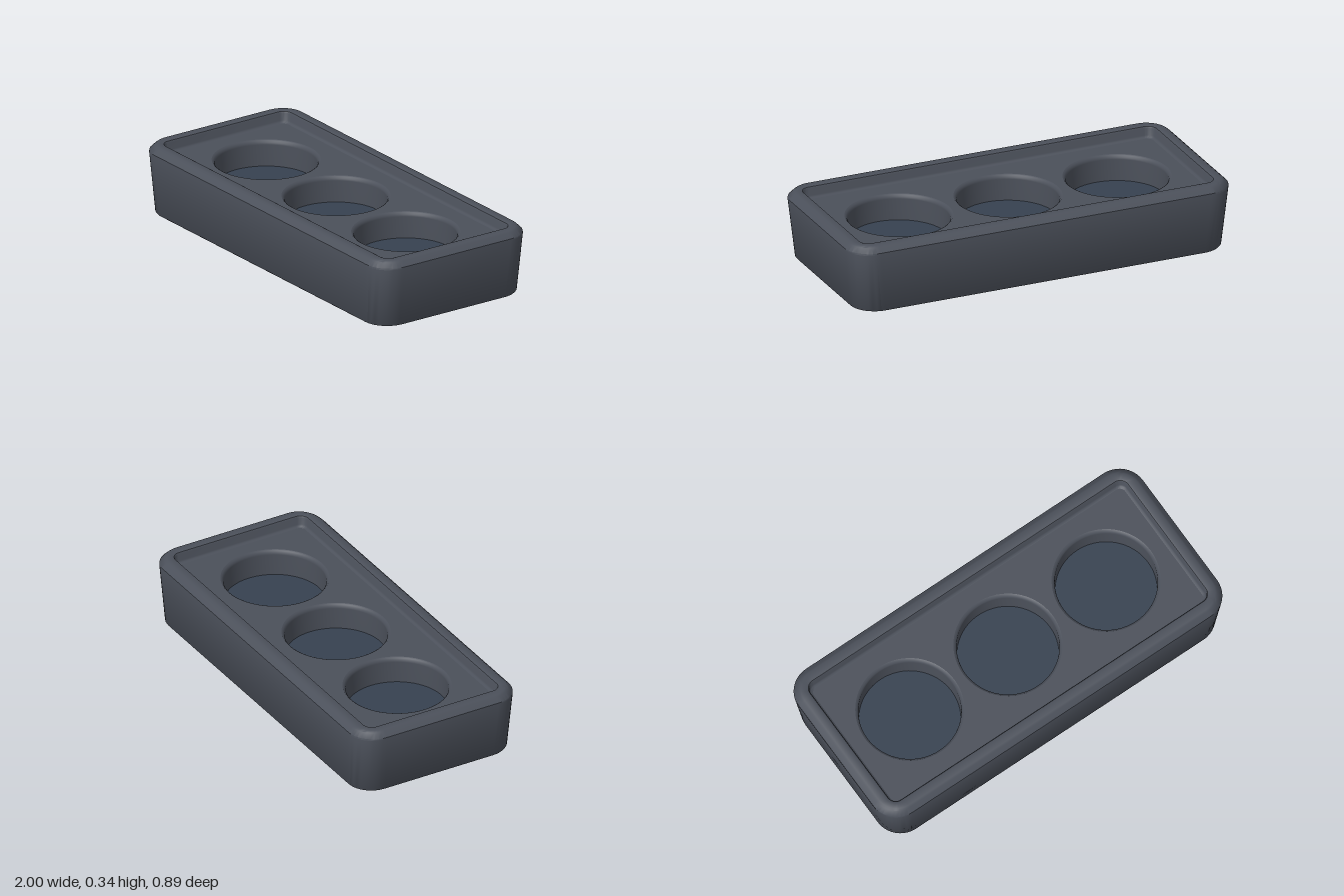
import * as THREE from 'three';
import { toCreasedNormals } from 'three/addons/utils/BufferGeometryUtils.js';

const DECK_Y = 0.28, FLOOR_Y = 0.15, WELL_X = [-0.57, 0, 0.57];
const WELL_R = 0.26, FLOOR_R = 0.243, SIDES = 64;

// Rounded rectangle outline, counter-clockwise
function outline(hx, hz, r, steps = 10) {
  const pts = [];
  [[1, 1], [-1, 1], [-1, -1], [1, -1]].forEach(([sx, sz], k) => {
    for (let i = 0; i <= steps; i++) {
      const a = (k + i / steps) * Math.PI / 2;
      pts.push(new THREE.Vector2(sx * (hx - r) + r * Math.cos(a), sz * (hz - r) + r * Math.sin(a)));
    }
  });
  return pts;
}

// Skin joining rounded rectangles [halfX, halfZ, radius, y]
function loft(sections) {
  const pos = [], idx = [];
  let n = 0;
  sections.forEach(([hx, hz, r, y]) => {
    const ring = outline(hx, hz, r);
    n = ring.length;
    ring.forEach(p => pos.push(p.x, y, -p.y));
  });
  for (let s = 0; s < sections.length - 1; s++) {
    for (let i = 0; i < n; i++) {
      const a = s * n + i, b = s * n + (i + 1) % n;
      idx.push(a, b, b + n, a, b + n, a + n);
    }
  }
  const g = new THREE.BufferGeometry();
  g.setAttribute('position', new THREE.Float32BufferAttribute(pos, 3));
  g.setIndex(idx);
  return toCreasedNormals(g, 0.65);
}

export function createModel() {
  const model = new THREE.Group();
  model.name = 'tray';
  const bodyMat = new THREE.MeshStandardMaterial({ color: 0x4b505a });
  const floorMat = new THREE.MeshStandardMaterial({ color: 0x364150 });
  const add = (name, geometry, material = bodyMat) => {
    const mesh = new THREE.Mesh(geometry, material);
    mesh.name = name;
    model.add(mesh);
    return mesh;
  };

  // Tapered outer wall, bevelled rim and recessed inner wall
  add('shell', loft([
    [0.96, 0.425, 0.125, 0],
    [0.965, 0.43, 0.13, 0.006],
    [0.999, 0.444, 0.135, 0.3],
    [0.998, 0.443, 0.135, 0.308],
    [0.976, 0.421, 0.115, 0.33],
    [0.966, 0.411, 0.105, 0.337],
    [0.932, 0.377, 0.055, 0.337],
    [0.924, 0.369, 0.047, 0.334],
    [0.919, 0.364, 0.042, 0.326],
    [0.917, 0.362, 0.04, 0.292],
    [0.912, 0.357, 0.037, 0.284],
    [0.903, 0.348, 0.03, DECK_Y],
  ]));

  // Underside
  const base = new THREE.ShapeGeometry(new THREE.Shape(outline(0.96, 0.425, 0.125)));
  add('underside', base.rotateX(Math.PI / 2));

  // Recessed deck pierced by the three wells
  const deckShape = new THREE.Shape(outline(0.903, 0.348, 0.03));
  WELL_X.forEach(x => deckShape.holes.push(new THREE.Path().absarc(x, 0, WELL_R, 0, Math.PI * 2, true)));
  const deck = new THREE.ShapeGeometry(deckShape, SIDES / 2).rotateX(-Math.PI / 2);
  add('deck', deck).position.y = DECK_Y;

  // Round wells with a softened lip and a darker floor
  const lip = [
    [WELL_R, DECK_Y], [0.253, DECK_Y - 0.004], [0.247, DECK_Y - 0.012],
    [0.245, DECK_Y - 0.022], [FLOOR_R, FLOOR_Y],
  ].map(([r, y]) => new THREE.Vector2(r, y));
  WELL_X.forEach((x, i) => {
    add(`wellWall${i + 1}`, new THREE.LatheGeometry(lip, SIDES)).position.x = x;
    const floor = new THREE.CircleGeometry(FLOOR_R, SIDES).rotateX(-Math.PI / 2);
    add(`wellFloor${i + 1}`, floor, floorMat).position.set(x, FLOOR_Y, 0);
  });

  return model;
}
